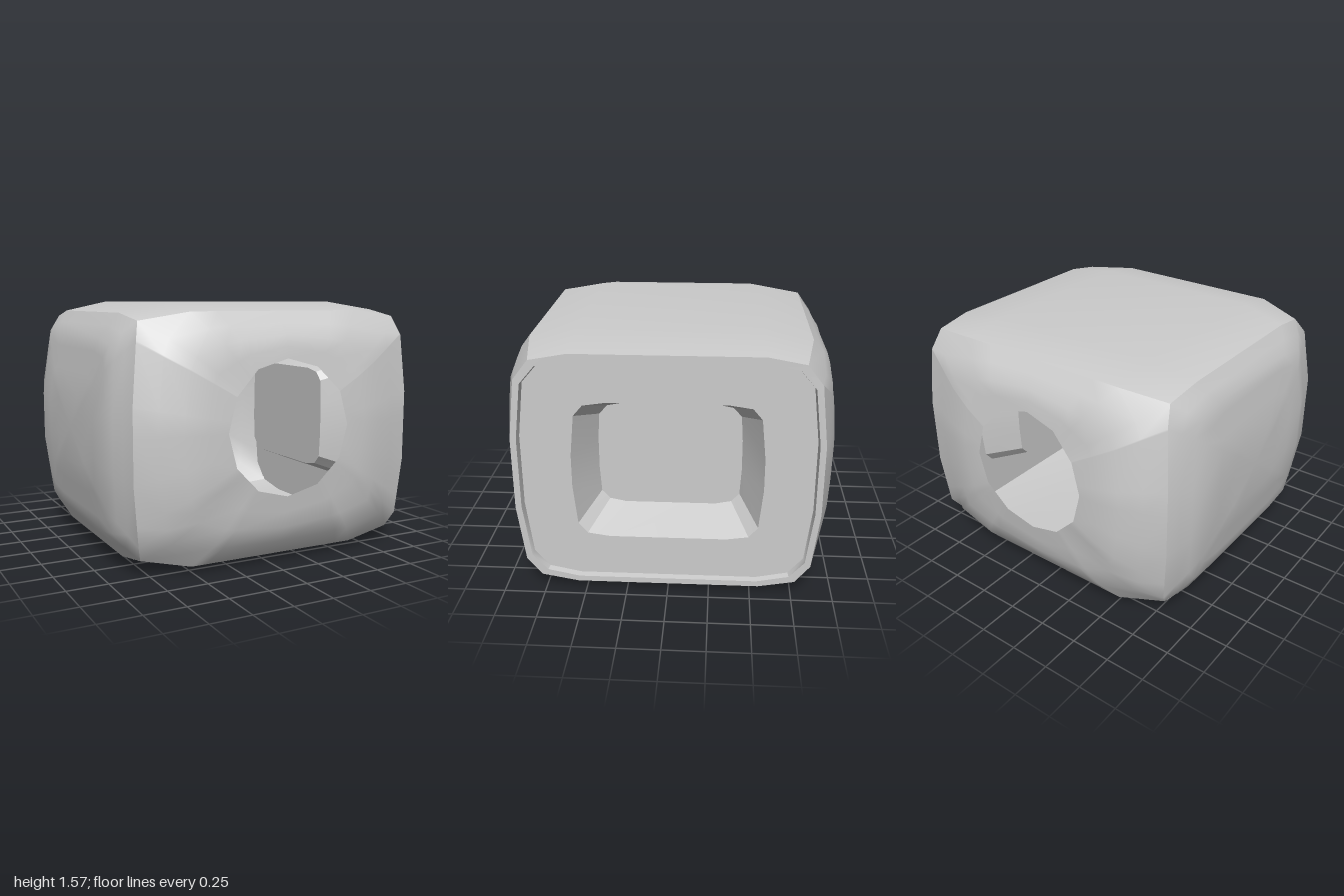
import * as THREE from 'three';
import { toCreasedNormals } from 'three/addons/utils/BufferGeometryUtils.js';

const MID = 0.785; // height of the symmetry plane; profile heights are offsets from it
const material = new THREE.MeshStandardMaterial({ color: 0xcccccc, side: THREE.DoubleSide });

// Skin a series of point rows; closed rows wrap around.
function loft(name, rows, { closed = true, flip = false, crease = 0 } = {}) {
  const n = rows[0].length, index = [];
  for (let i = 0; i < rows.length - 1; i++) {
    for (let j = 0; j < (closed ? n : n - 1); j++) {
      const k = (j + 1) % n;
      const a = i * n + j, b = i * n + k, c = b + n, d = a + n;
      if (flip) index.push(a, d, b, b, d, c);
      else index.push(a, b, d, b, c, d);
    }
  }
  let geo = new THREE.BufferGeometry();
  const pos = rows.flat().flatMap(([x, y, z]) => [x, y + MID, z]);
  geo.setAttribute('position', new THREE.Float32BufferAttribute(pos, 3));
  geo.setIndex(index);
  geo.computeVertexNormals();
  if (crease) geo = toCreasedNormals(geo, crease);
  const mesh = new THREE.Mesh(geo, material);
  mesh.name = name;
  return mesh;
}

// Mirror a quarter outline (side to top) into a full loop.
function fourfold(quarter) {
  const m = (sy, sz) => quarter.map(([x, y, z]) => [x, y * sy, z * sz]);
  return [...m(1, 1), ...m(1, -1).reverse(), ...m(-1, -1), ...m(-1, 1).reverse()];
}

// Piecewise linear bulge: pairs of [position, drop].
function ramp(v, pts) {
  for (let i = 1; i < pts.length; i++) {
    if (v <= pts[i][0] || i === pts.length - 1) {
      const [a, b] = [pts[i - 1], pts[i]];
      return a[1] + Math.max(0, (v - a[0]) / (b[0] - a[0])) * (b[1] - a[1]);
    }
  }
}
const sideZ = (x, y) => 1 - ramp(Math.abs(y), [[0.22, 0], [0.58, 0.05], [0.735, 0.17]])
  - (x > 0 ? ramp(x, [[0.6, 0], [0.96, 0.1]]) : ramp(-x, [[0.56, 0], [0.9, 0.13]]));
const endX = (y, z) => -0.97 + ramp(Math.abs(y), [[0.22, 0], [0.58, 0.06], [0.725, 0.15]])
  + ramp(Math.abs(z), [[0.6, 0], [0.87, 0.08]]);

const HX = 0.035, HY = 0.06, HR = 0.405; // side hole

// Point of a polygon seen from the hole centre in direction (c, s).
function rayHit(poly, ang) {
  const c = Math.cos(ang), s = Math.sin(ang);
  for (let i = 0; i < poly.length; i++) {
    const p = poly[i], q = poly[(i + 1) % poly.length];
    const off = (v) => c * (v[1] - HY) - s * (v[0] - HX);
    const a = off(p), b = off(q);
    if (a > 1e-9 || b < -1e-9 || b - a < 1e-9) continue;
    const t = -a / (b - a);
    const hit = p.map((v, k) => v + (q[k] - v) * t);
    if (c * (hit[0] - HX) + s * (hit[1] - HY) > 0) return hit;
  }
  return poly[0];
}

function sideWall(name, sz) {
  const upper = [[0.96, 0.22, 0.9], [0.945, 0.58, 0.86], [0.94, 0.695, 0.77], [0.6, 0.735, 0.83],
    [-0.52, 0.735, 0.83], [-0.804, 0.685, 0.74], [-0.845, 0.58, 0.82], [-0.89, 0.22, 0.87]];
  const edge = [...upper, ...upper.map(([x, y, z]) => [x, -y, z]).reverse()];
  const hole = Array.from({ length: 12 }, (_, i) => {
    const a = i * Math.PI / 6, x = HX + HR * Math.cos(a), y = HY + HR * Math.sin(a);
    return [x, y, sideZ(x, y)];
  });
  const angles = [...hole, ...edge].map(([x, y]) => Math.atan2(y - HY, x - HX))
    .sort((a, b) => a - b).filter((a, i, all) => i === 0 || a - all[i - 1] > 1e-4);
  const rows = [0, 0.25, 0.5, 0.75, 1].map((t) => angles.map((ang) => {
    const h = rayHit(hole, ang), e = rayHit(edge, ang);
    const x = h[0] + (e[0] - h[0]) * t, y = h[1] + (e[1] - h[1]) * t;
    const fix = (1 - t) * (h[2] - sideZ(h[0], h[1])) + t * (e[2] - sideZ(e[0], e[1]));
    return [x, y, sz * (sideZ(x, y) + fix)];
  }));
  return loft(name, rows, { flip: sz > 0 });
}

function flatWall(name, sy) {
  // x at crease, x at middle, crease z, crease y, middle z, middle y
  const stations = [[0.94, 0.94, 0.77, 0.695, 0.55, 0.735], [0.6, 0.6, 0.83, 0.735, 0.55, 0.785],
    [-0.52, -0.52, 0.83, 0.735, 0.55, 0.785], [-0.804, -0.82, 0.74, 0.685, 0.5, 0.725]];
  const rows = stations.map(([xc, xm, zc, yc, zm, ym]) =>
    [[xc, yc, zc], [xm, ym, zm], [xm, ym, -zm], [xc, yc, -zc]].map(([x, y, z]) => [x, sy * y, z]));
  return loft(name, rows, { closed: false, flip: sy < 0 });
}

export function createModel() {
  const model = new THREE.Group();
  model.name = 'hollowBlock';

  // Hollow shell
  model.add(sideWall('frontWall', 1), sideWall('backWall', -1));
  model.add(flatWall('topWall', 1), flatWall('bottomWall', -1));

  // Bulged closed end
  const endLoop = fourfold([[0, 0.22, 0.87], [0, 0.58, 0.82], [0, 0.685, 0.74], [0, 0.725, 0.5]]);
  const endRows = [1, 0.9, 0.8, 0.69, 0.5, 0.3, 0].map((s) =>
    endLoop.map(([, y, z]) => [endX(y * s, z * s), y * s, z * s]));
  model.add(loft('closedEnd', endRows));

  // Open end: rim, step, panel and recessed tray
  const outer = fourfold([[0.96, 0.22, 0.9], [0.945, 0.58, 0.86], [0.94, 0.695, 0.77], [0.94, 0.735, 0.55]]);
  const inner = fourfold([[0.955, 0.22, 0.865], [0.945, 0.555, 0.825], [0.94, 0.66, 0.735], [0.94, 0.7, 0.54]]);
  const seat = inner.map(([, y, z]) => [0.9, y * 0.993, z * 0.993]);
  const mouth = fourfold([[0.9, 0.1, 0.565], [0.9, 0.35, 0.54], [0.9, 0.415, 0.485], [0.9, 0.435, 0.35]]);
  const floor = fourfold([[0.64, 0.1, 0.44], [0.64, 0.26, 0.43], [0.64, 0.315, 0.38], [0.64, 0.335, 0.28]]);
  const centre = floor.map(() => [0.64, 0, 0]);
  model.add(
    loft('rim', [outer, inner], { flip: true }),
    loft('rimStep', [inner, seat], { flip: true, crease: 0.6 }),
    loft('endPanel', [seat, mouth], { flip: true }),
    loft('recessWalls', [mouth, floor], { flip: true, crease: 0.45 }),
    loft('recessFloor', [floor, centre], { flip: true }),
  );
  return model;
}
